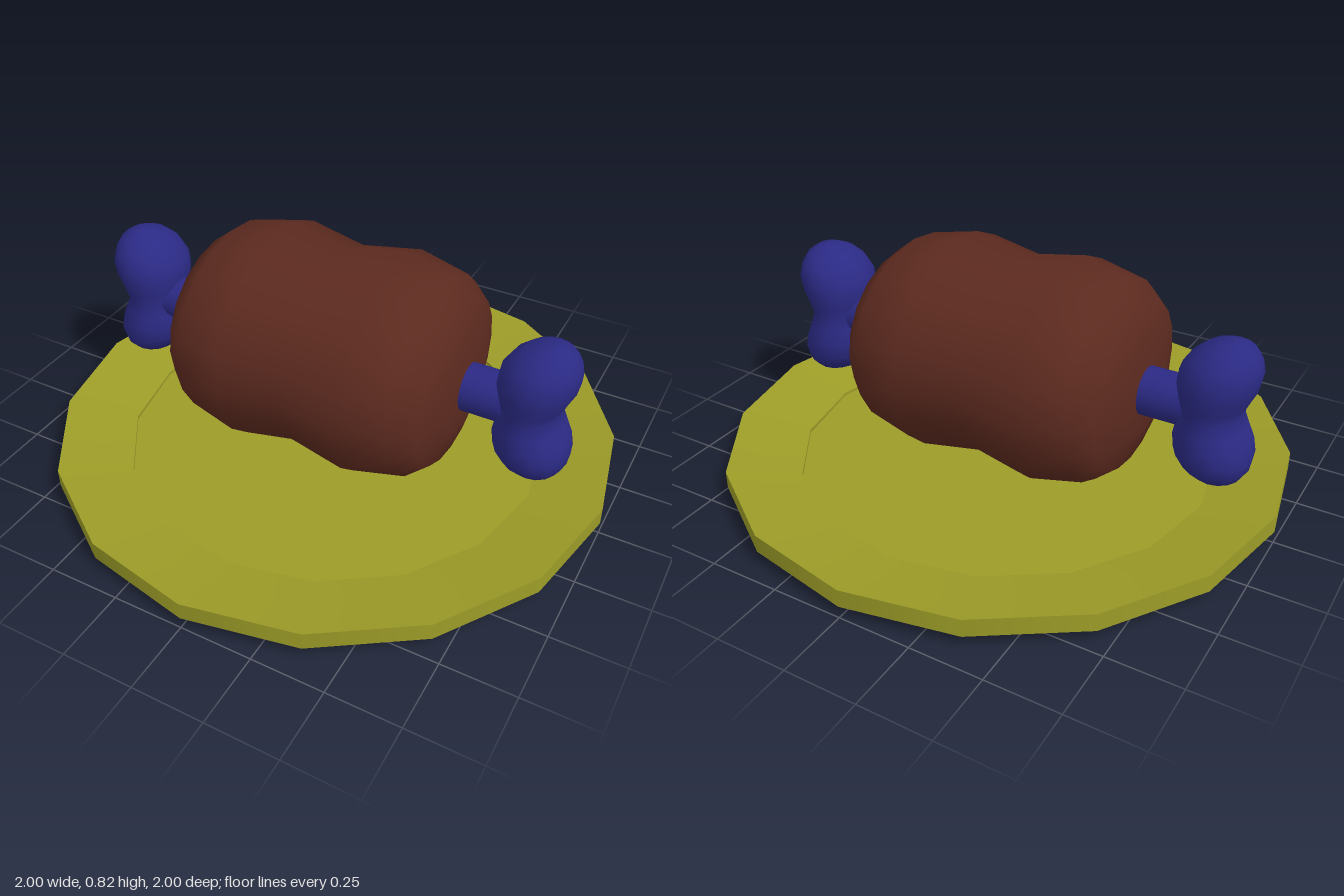
import * as THREE from 'three';
import { mergeGeometries } from 'three/addons/utils/BufferGeometryUtils.js';

const CENTER_X = -0.017;

function material(color) {
  return new THREE.MeshStandardMaterial({ color });
}

function lathe(points, sides) {
  return new THREE.LatheGeometry(points.map(([r, y]) => new THREE.Vector2(r, y)), sides);
}

// Smooth around the axis, with a sharp edge at every profile point
function creasedLathe(points, sides) {
  return mergeGeometries(points.slice(1).map((p, i) => lathe([points[i], p], sides)));
}

// Closed skin over elliptical rings [y, centreX, radiusX, radiusZ], bottom to top
function loft(rings, sides) {
  const pos = [];
  const idx = [];
  for (const [y, cx, rx, rz] of rings) {
    for (let j = 0; j < sides; j++) {
      const a = (j / sides) * Math.PI * 2;
      pos.push(cx + Math.sin(a) * rx, y, Math.cos(a) * rz);
    }
  }
  for (let i = 0; i < rings.length - 1; i++) {
    for (let j = 0; j < sides; j++) {
      const a = i * sides + j;
      const b = i * sides + ((j + 1) % sides);
      idx.push(a, b, b + sides, a, b + sides, a + sides);
    }
  }
  const g = new THREE.BufferGeometry();
  g.setAttribute('position', new THREE.Float32BufferAttribute(pos, 3));
  g.setIndex(idx);
  g.computeVertexNormals();
  return g;
}

export function createModel() {
  const model = new THREE.Group();
  model.name = 'meatOnPlate';

  const add = (name, geometry, mat, parent = model) => {
    const mesh = new THREE.Mesh(geometry, mat);
    mesh.name = name;
    parent.add(mesh);
    return mesh;
  };

  // Plate: tapered foot, upright edge, rim sloping inward to a sunken floor
  add('plate', creasedLathe([
    [0, 0], [0.755, 0], [0.785, 0.042], [1, 0.042],
    [1, 0.105], [0.745, 0.052], [0.745, 0.04], [0, 0.04],
  ], 16), material(0x9c9c28));

  // Meat: two bulges with a waist, lying along x, slightly flattened
  const half = [[0, 0.512], [0.17, 0.504], [0.312, 0.467], [0.378, 0.393], [0.42, 0.213]];
  const profile = [
    ...half.map(([r, x]) => [r, -x]),
    [0.38, 0],
    ...half.slice().reverse(),
  ];
  const meatGeometry = lathe(profile, 20);
  meatGeometry.rotateZ(-Math.PI / 2);
  meatGeometry.scale(1, 0.905, 1);
  add('meat', meatGeometry, material(0x5c2a1f)).position.set(CENTER_X + 0.003, 0.439, 0);

  // Bone: shaft through the meat and a two-lobed knob at each end
  const bone = new THREE.Group();
  bone.name = 'bone';
  bone.position.set(CENTER_X, 0.435, 0);
  model.add(bone);
  const boneMaterial = material(0x2b2a85);

  const shaft = new THREE.CylinderGeometry(0.084, 0.084, 1.46, 16);
  shaft.rotateZ(Math.PI / 2);
  add('shaft', shaft, boneMaterial, bone);

  const lobe = [
    [0.045, 0.737, 0.112, 0.137],
    [0.095, 0.744, 0.128, 0.145],
    [0.145, 0.752, 0.13, 0.145],
    [0.19, 0.762, 0.112, 0.126],
    [0.225, 0.772, 0.081, 0.091],
    [0.246, 0.779, 0.042, 0.046],
    [0.252, 0.781, 0.001, 0.001],
  ];
  const knobRings = [
    ...lobe.map(([y, ...rest]) => [-y, ...rest]).reverse(),
    [0, 0.734, 0.097, 0.127],
    ...lobe,
  ];
  const knob = loft(knobRings, 16);
  add('leftKnob', knob, boneMaterial, bone);
  add('rightKnob', knob, boneMaterial, bone).rotation.y = Math.PI;

  return model;
}
